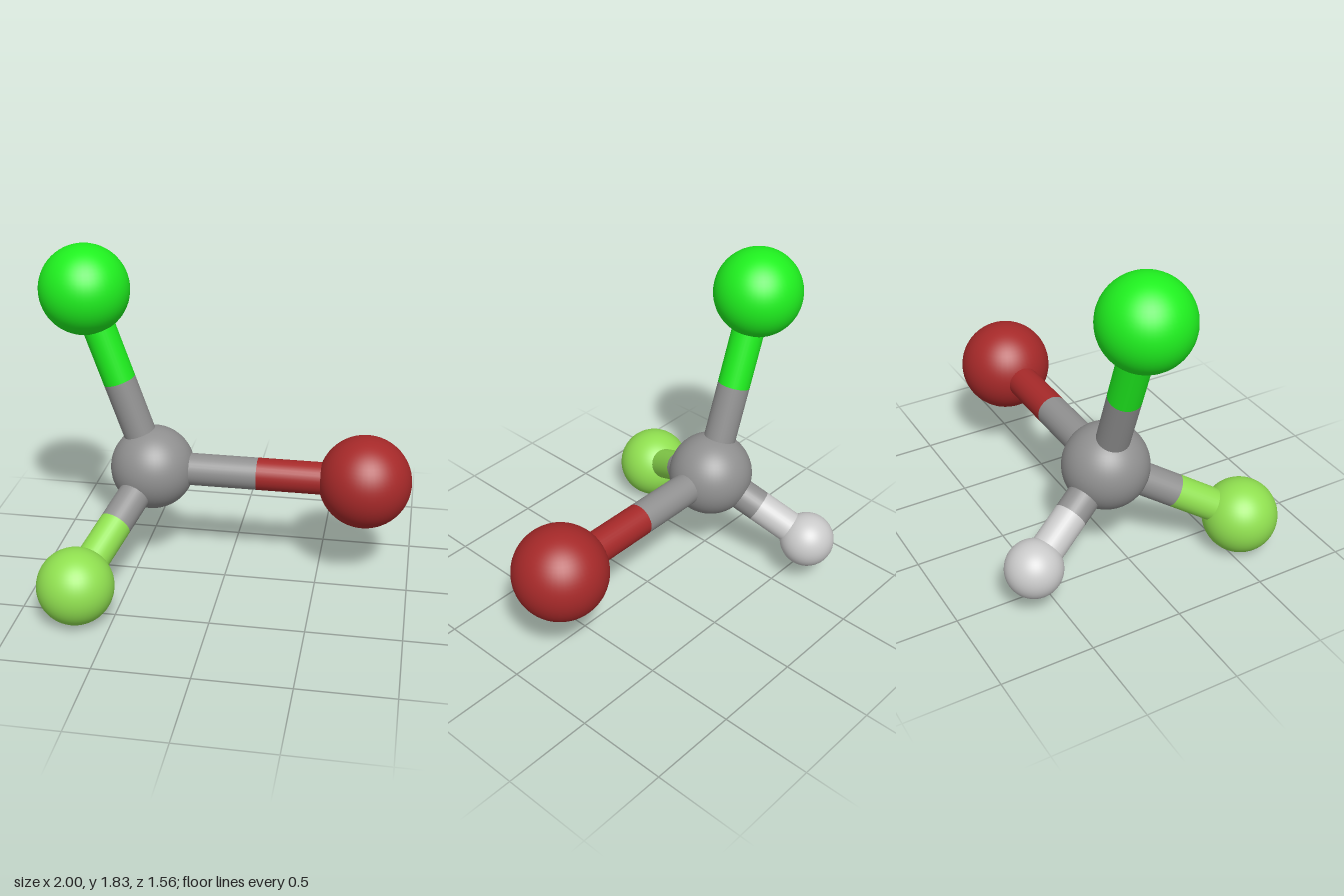
import * as THREE from 'three';

const BOND_RADIUS = 0.088;

// Atoms: the first is the hub, the others are bonded to it
const ATOMS = [
  { name: 'carbon', pos: [-0.415, 0.595, -0.095], radius: 0.23, color: 0x909090 },
  { name: 'bromine', pos: [0.745, 0.595, -0.095], radius: 0.25, color: 0xa62929 },
  { name: 'chlorine', pos: [-0.76, 1.59, -0.095], radius: 0.24, color: 0x1ff01f },
  { name: 'fluorine', pos: [-0.685, 0.205, 0.578], radius: 0.202, color: 0x90e050 },
  { name: 'hydrogen', pos: [-0.63, 0.285, -0.627], radius: 0.15, color: 0xcccccc },
];

function makeAtom({ name, pos, radius }, material) {
  const atom = new THREE.Mesh(new THREE.SphereGeometry(radius, 48, 32), material);
  atom.name = name + 'Atom';
  atom.position.set(...pos);
  return atom;
}

// Round rod between two points
function makeRod(name, from, to, material) {
  const dir = to.clone().sub(from);
  const rod = new THREE.Mesh(
    new THREE.CylinderGeometry(BOND_RADIUS, BOND_RADIUS, dir.length(), 32, 1, true), material);
  rod.name = name;
  rod.position.copy(from).add(to).multiplyScalar(0.5);
  rod.quaternion.setFromUnitVectors(new THREE.Vector3(0, 1, 0), dir.normalize());
  return rod;
}

export function createModel() {
  const model = new THREE.Group();
  model.name = 'molecule';
  const materials = ATOMS.map(({ color }) => new THREE.MeshStandardMaterial({ color }));
  const hub = new THREE.Vector3(...ATOMS[0].pos);

  ATOMS.forEach((atom, i) => {
    model.add(makeAtom(atom, materials[i]));
    if (i === 0) return;

    // Each bond changes colour halfway between its atoms
    const end = new THREE.Vector3(...atom.pos);
    const middle = hub.clone().lerp(end, 0.5);
    const bond = new THREE.Group();
    bond.name = atom.name + 'Bond';
    bond.add(
      makeRod('innerHalf', hub, middle, materials[0]),
      makeRod('outerHalf', middle, end, materials[i]));
    model.add(bond);
  });
  return model;
}
